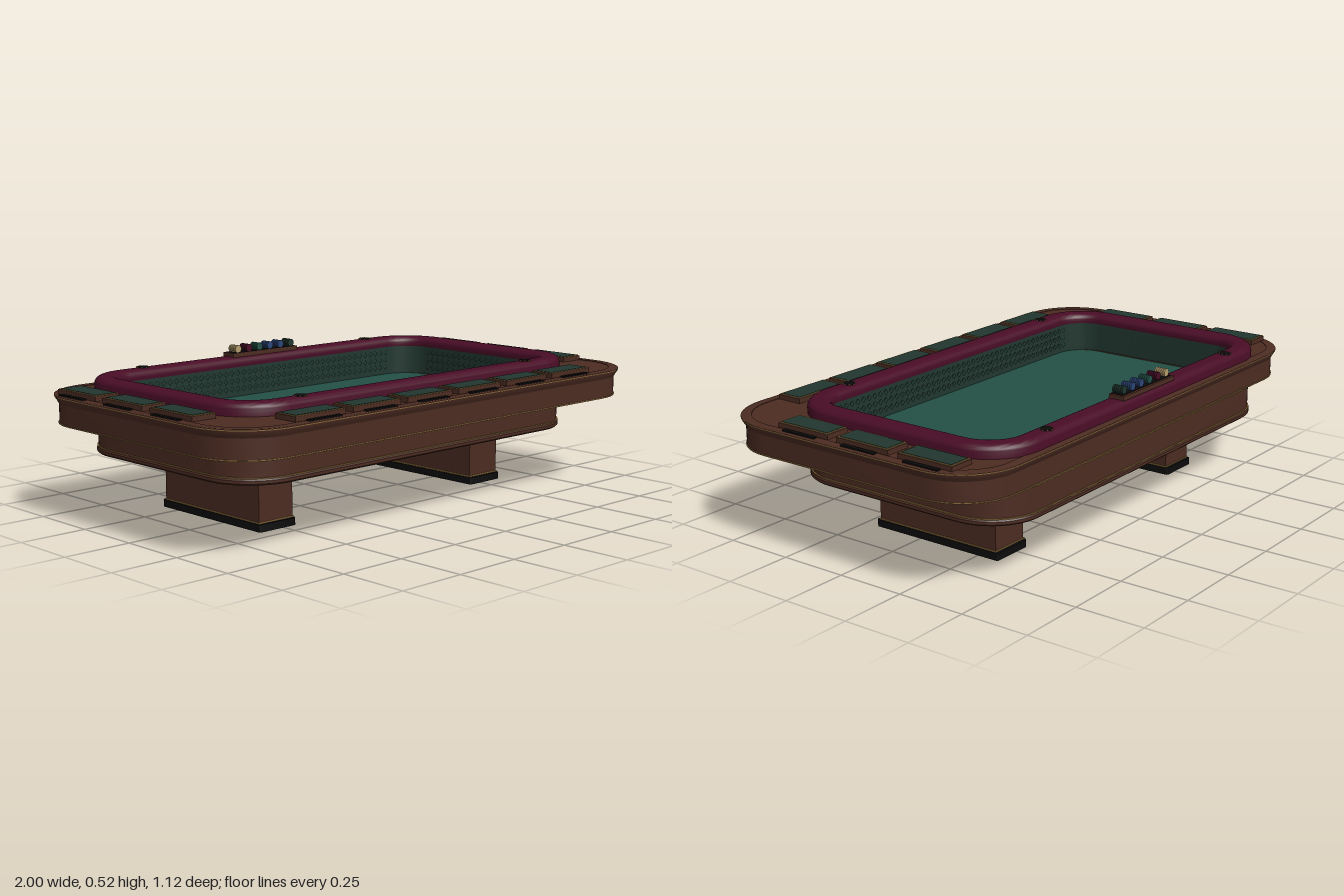
import * as THREE from 'three';
import { mergeGeometries, toCreasedNormals } from 'three/addons/utils/BufferGeometryUtils.js';

const paint = (name, color) => {
  const m = new THREE.MeshStandardMaterial({ color });
  m.name = name;
  return m;
};

// Points and outward directions around a rounded rectangle in plan
function outline({ hx, hz, cz, r }, steps = 12) {
  const pts = [];
  [[1, 1], [-1, 1], [-1, -1], [1, -1]].forEach(([sx, sz], q) => {
    for (let i = 0; i <= steps; i++) {
      const a = (q + i / steps) * Math.PI / 2;
      pts.push({ x: sx * (hx - r), z: cz + sz * (hz - r), nx: Math.cos(a), nz: Math.sin(a) });
    }
  });
  return pts;
}

// Sweeps a profile of [outward offset, y] around a rounded rectangle
function sweep(rect, profile, closed = true) {
  const path = outline(rect), n = profile.length, pos = [], idx = [];
  for (const p of path) for (const [d, y] of profile) {
    pos.push(p.x + p.nx * (rect.r + d), y, p.z + p.nz * (rect.r + d));
  }
  for (let i = 0; i < path.length; i++) for (let j = 0; j < (closed ? n : n - 1); j++) {
    const i2 = (i + 1) % path.length, j2 = (j + 1) % n;
    const a = i * n + j, b = i * n + j2, c = i2 * n + j, d = i2 * n + j2;
    idx.push(a, b, c, b, d, c);
  }
  const g = new THREE.BufferGeometry();
  g.setAttribute('position', new THREE.Float32BufferAttribute(pos, 3));
  g.setIndex(idx);
  return toCreasedNormals(g.toNonIndexed(), 0.6);
}

// Flat slab with a rounded outline and an optional rounded opening
function slab(rect, y0, y1, hole) {
  const plan = r => outline(r).map(p => new THREE.Vector2(p.x + p.nx * r.r, -(p.z + p.nz * r.r)));
  const shape = new THREE.Shape(plan(rect));
  if (hole) shape.holes.push(new THREE.Path(plan(hole)));
  const g = new THREE.ExtrudeGeometry(shape, { depth: y1 - y0, bevelEnabled: false });
  g.rotateX(-Math.PI / 2).translate(0, y0, 0);
  return toCreasedNormals(g, 0.6);
}

export function createModel() {
  const model = new THREE.Group();
  model.name = 'gamingTable';
  const wood = paint('walnut', 0x4c2c22);
  const felt = paint('feltGreen', 0x235046);
  const padGreen = paint('darkGreen', 0x21372f);
  const leather = paint('burgundyLeather', 0x490d26);
  const gold = paint('brass', 0x8c6c3c);
  const black = paint('black', 0x0c0c0c);
  const cream = paint('creamChip', 0xb8a070);
  const blue = paint('blueChip', 0x2c4678);

  const add = (name, geo, mat, x = 0, y = 0, z = 0, parent = model) => {
    const m = new THREE.Mesh(geo, mat);
    m.name = name;
    m.position.set(x, y, z);
    parent.add(m);
    return m;
  };
  const box = (w, h, d) => new THREE.BoxGeometry(w, h, d);

  const railRect = { hx: 0.985, hz: 0.542, cz: 0, r: 0.2 };
  const wellRect = { hx: 0.76, hz: 0.383, cz: -0.07, r: 0.115 };
  const apronRect = { hx: 0.83, hz: 0.46, cz: -0.07, r: 0.185 };

  // Wide outer rail with a flared lip
  add('rail', slab(railRect, 0.332, 0.434, { ...wellRect, hx: 0.765, hz: 0.388, r: 0.12 }), wood);
  add('railLip', sweep(railRect, [[-0.02, 0.405], [0.002, 0.405], [0.006, 0.413], [0.015, 0.427],
    [0.015, 0.434], [0.01, 0.436], [-0.02, 0.436]]), wood);
  add('railLipTrim', sweep(railRect, [[0.01, 0.430], [0.0165, 0.430], [0.0165, 0.433], [0.01, 0.433]]), gold);
  add('railLowerTrim', sweep(railRect, [[-0.01, 0.333], [0.003, 0.333], [0.003, 0.337], [-0.01, 0.337]]), gold);

  // Apron ring under the rail
  add('apron', sweep(apronRect, [[-0.075, 0.21], [-0.004, 0.21], [0.003, 0.216], [0.003, 0.226], [-0.003, 0.233],
    [-0.003, 0.332], [-0.075, 0.332]]), wood);
  for (const y of [0.234, 0.324]) {
    add('apronTrim', sweep(apronRect, [[-0.01, y - 0.002], [0.002, y - 0.002], [0.002, y + 0.002], [-0.01, y + 0.002]]), gold);
  }

  // Playing surface and padded cushion around the well
  add('feltBed', slab({ ...wellRect, hx: 0.764, hz: 0.387, r: 0.119 }, 0.3, 0.33), felt);
  add('wellWall', sweep(wellRect, [[0, 0.45], [0, 0.328]], false), padGreen);
  const cushion = [[0.003, 0.43], [0.08, 0.43]];
  for (let i = 0; i <= 6; i++) {
    const a = i / 6 * Math.PI / 2;
    cushion.push([0.055 + 0.025 * Math.cos(a), 0.453 + 0.025 * Math.sin(a)]);
  }
  for (let i = 0; i <= 6; i++) {
    const a = (1 + i / 6) * Math.PI / 2;
    cushion.push([0.022 + 0.025 * Math.cos(a), 0.453 + 0.025 * Math.sin(a)]);
  }
  add('cushion', sweep(wellRect, cushion), leather);

  // Rows of small pyramid studs on the well wall
  const rim = outline(wellRect).map(p => new THREE.Vector3(p.x + p.nx * wellRect.r, 0, p.z + p.nz * wellRect.r));
  const loop = new THREE.CurvePath();
  rim.forEach((p, i) => {
    const q = rim[(i + 1) % rim.length];
    if (p.distanceTo(q) > 1e-6) loop.add(new THREE.LineCurve3(p, q));
  });
  const studs = [], studCount = 150;
  for (let i = 0; i < studCount; i++) {
    const p = loop.getPointAt(i / studCount), t = loop.getTangentAt(i / studCount);
    for (const y of [0.36, 0.39, 0.42]) {
      const g = new THREE.ConeGeometry(0.012, 0.01, 4).toNonIndexed();
      g.rotateX(Math.PI / 2).rotateY(Math.atan2(-t.z, t.x) + Math.PI);
      studs.push(g.translate(p.x, y, p.z));
    }
  }
  const studGeo = mergeGeometries(studs);
  studGeo.computeVertexNormals();
  add('wallStuds', studGeo, padGreen);

  // Round sockets set in the cushion, ringed with brass beads
  for (const x of [-0.56, 0.56]) for (const z of [-0.497, 0.35]) {
    const socket = new THREE.Group();
    socket.name = 'socket';
    socket.position.set(x, 0.479, z);
    model.add(socket);
    add('socketDisc', new THREE.CylinderGeometry(0.02, 0.02, 0.006, 20), black, 0, 0, 0, socket);
    for (let i = 0; i < 8; i++) {
      const a = i * Math.PI / 4;
      add('socketBead', new THREE.SphereGeometry(0.003, 8, 6), gold, 0.021 * Math.cos(a), 0.001, 0.021 * Math.sin(a), socket);
    }
  }

  // Betting pads with a black slot on the outer side
  function pad(x, z, turn) {
    const g = new THREE.Group();
    g.name = 'playerPad';
    g.position.set(x, 0.435, z);
    g.rotation.y = turn;
    model.add(g);
    add('padBase', box(0.218, 0.017, 0.096), wood, 0, 0.0085, 0, g);
    add('padBorder', box(0.212, 0.003, 0.092), gold, 0, 0.0175, 0, g);
    add('padTop', box(0.2, 0.003, 0.08), padGreen, 0, 0.0188, 0, g);
    add('slot', box(0.14, 0.006, 0.016), black, 0, 0.003, 0.064, g);
  }
  for (let i = 0; i < 6; i++) pad(-0.625 + i * 0.25, 0.469, 0);
  for (const z of [-0.33, -0.073, 0.183]) for (const s of [-1, 1]) pad(s * 0.914, z, s * Math.PI / 2);

  // Chip tray with six rolls of discs
  add('chipTray', box(0.32, 0.016, 0.06), wood, 0, 0.484, -0.495);
  add('chipTrayBed', box(0.3, 0.003, 0.048), black, 0, 0.4925, -0.492);
  [cream, leather, felt, blue, blue, padGreen].forEach((mat, i) => {
    for (let k = 0; k < 5; k++) {
      const disc = new THREE.CylinderGeometry(0.0145, 0.0145, 0.006, 20).rotateX(Math.PI / 2);
      add('chip', disc, mat, -0.1325 + i * 0.053, 0.506, -0.472 - k * 0.0088);
    }
  });

  // Two pedestal legs on black feet
  for (const s of [-1, 1]) {
    add('leg', box(0.15, 0.28, 0.505), wood, s * 0.525, 0.165, -0.069);
    add('legTrim', box(0.156, 0.005, 0.511), gold, s * 0.525, 0.029, -0.069);
    const footRect = { hx: 0.081, hz: 0.265, cz: 0, r: 0.008 };
    add('foot', slab(footRect, 0, 0.026), black, s * 0.525, 0, -0.069);
  }
  return model;
}
